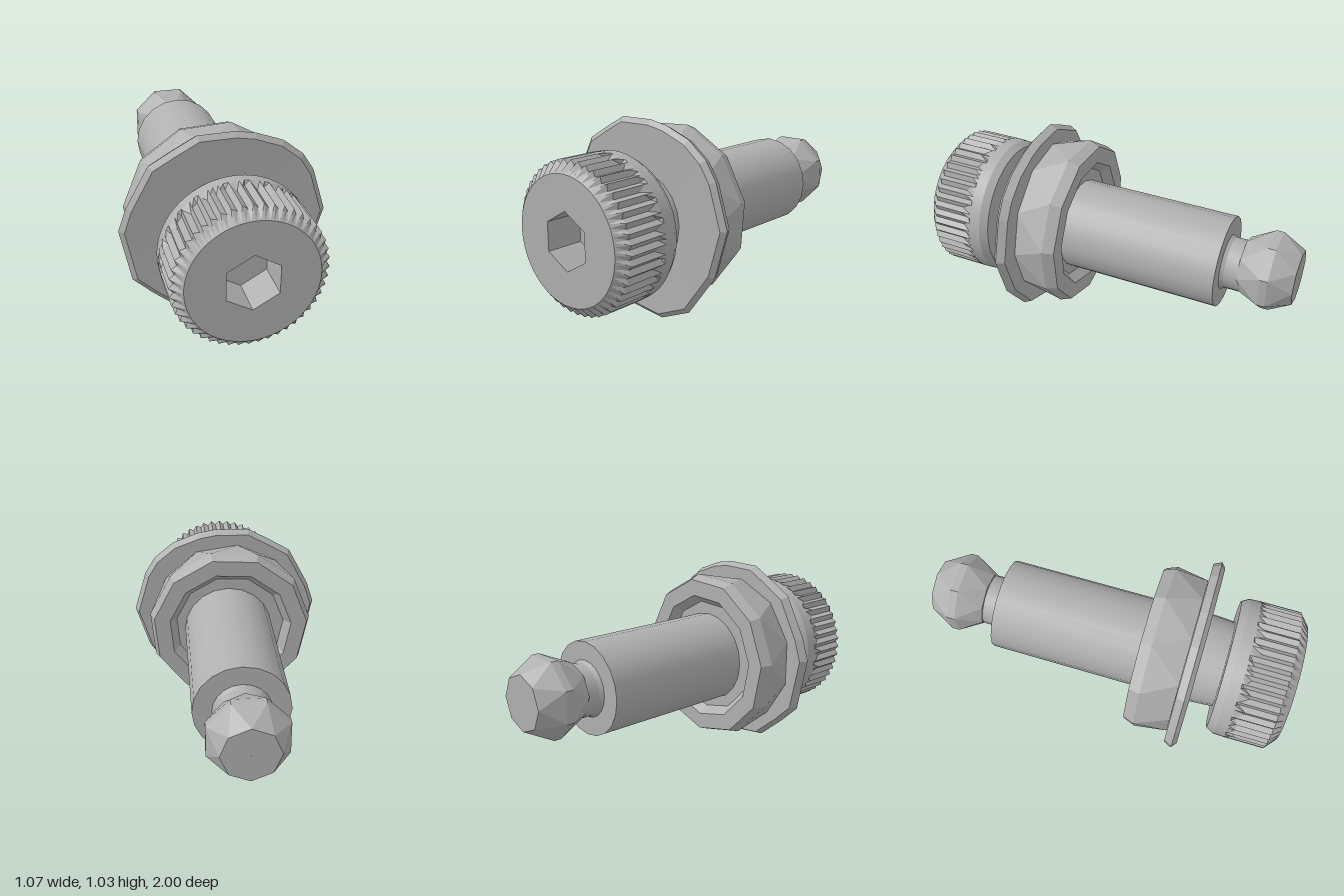
import * as THREE from 'three';
import { toCreasedNormals } from 'three/addons/utils/BufferGeometryUtils.js';

// Ring of n points around the z axis; r and z may be functions of (angle, index)
function ring(r, z, n, phase = 0) {
  return Array.from({ length: n }, (_, j) => {
    const a = (j / n) * Math.PI * 2 + phase;
    const rad = typeof r === 'function' ? r(a, j) : r;
    const depth = typeof z === 'function' ? z(a, j) : z;
    return [rad * Math.cos(a), rad * Math.sin(a), depth];
  });
}

// Skin over successive rings, ordered so that the outside faces outwards
function loft(rings, crease) {
  const n = rings[0].length;
  const index = [];
  for (let i = 0; i < rings.length - 1; i++) {
    for (let j = 0; j < n; j++) {
      const k = (j + 1) % n;
      const a = i * n + j, b = i * n + k, c = a + n, d = b + n;
      index.push(a, c, b, b, c, d);
    }
  }
  const g = new THREE.BufferGeometry();
  g.setAttribute('position', new THREE.Float32BufferAttribute(rings.flat(2), 3));
  g.setIndex(index);
  return toCreasedNormals(g, crease);
}

export function createModel() {
  const model = new THREE.Group();
  model.name = 'plungerBolt';
  const steel = new THREE.MeshStandardMaterial({ color: 0xb0b0b0 });
  steel.name = 'grey steel';
  const add = (name, geometry, x = -0.005, y = 0.523) => {
    const mesh = new THREE.Mesh(geometry, steel);
    mesh.name = name;
    mesh.position.set(x, y, 0);
    model.add(mesh);
  };

  // Knurled cap head with a hexagonal socket
  const N = 96, sixth = Math.PI / 3;
  const hex = a => 0.147 * Math.cos(sixth / 2) /
    Math.cos(((a + sixth / 2) % sixth) - sixth / 2);
  const teeth = (a, j) => (j % 2 ? 0.36 : 0.381);
  const toothEnd = (a, j) => 0.765 + 0.025 * Math.sin(Math.floor(j / 2) * 2.7);
  add('knurledHead', loft([
    ring(0.001, 0.8, N), ring(hex, 0.8, N), ring(hex, 1, N),
    ring(0.322, 1, N), ring(teeth, 0.95, N), ring(teeth, toothEnd, N),
    ring(0.381, 0.73, N), ring(0.378, 0.67, N), ring(0.355, 0.63, N), ring(0.2, 0.63, N),
  ], 0.35));

  // Plain shank with its stepped rear shoulder
  const S = 20;
  add('shank', loft([
    ring(0.238, 0.64, S), ring(0.247, 0.5, S), ring(0.247, -0.62, S), ring(0.1, -0.62, S),
  ], 0.5));
  add('rearNeck', loft([
    ring(0.155, -0.61, S), ring(0.138, -0.64, S), ring(0.138, -0.73, S),
  ], 0.5));

  // Faceted ball tip with a flat end
  const B = 8, half = Math.PI / B;
  add('ballTip', loft([
    ring(0.05, -0.71, B), ring(0.145, -0.71, B), ring(0.215, -0.84, B, half),
    ring(0.215, -0.88, B, half), ring(0.145, -1, B, half * 2), ring(0.001, -1, B, half * 2),
  ], 0.1), -0.01, 0.537);

  // Thin washer with an uneven rim
  const rim = [
    [0.53, 0.55], [0.46, 0.78], [0.4, 0.875], [0.295, 0.96], [0.15, 1.015], [0.05, 1.033],
    [-0.14, 1.03], [-0.26, 0.965], [-0.38, 0.895], [-0.495, 0.68], [-0.535, 0.56],
    [-0.475, 0.27], [-0.37, 0.17], [-0.22, 0.045], [0.105, 0.003], [0.29, 0.08], [0.455, 0.3],
  ].map(([x, y]) => [x, y - 0.523]);
  const rimRing = (s, z) => rim.map(([x, y]) => [x * s, y * s, z]);
  const bore = z => rim.map(([x, y]) => {
    const k = 0.235 / Math.hypot(x, y);
    return [x * k, y * k, z];
  });
  add('washer', loft([
    bore(0.49), rimRing(0.95, 0.498), rimRing(1, 0.475), rimRing(0.96, 0.432), bore(0.435),
  ], 0.1), 0);

  // Faceted nut, recessed around the shank at the back
  const M = 11;
  add('nut', loft([
    ring(0.235, 0.43, M), ring(0.425, 0.43, M), ring(0.463, 0.25, M, 0.2),
    ring(0.44, 0.19, M, 0.2), ring(0.35, 0.19, M, 0.2), ring(0.31, 0.24, M, 0.2),
    ring(0.235, 0.24, M, 0.2),
  ], 0.1), -0.015, 0.53);

  return model;
}
